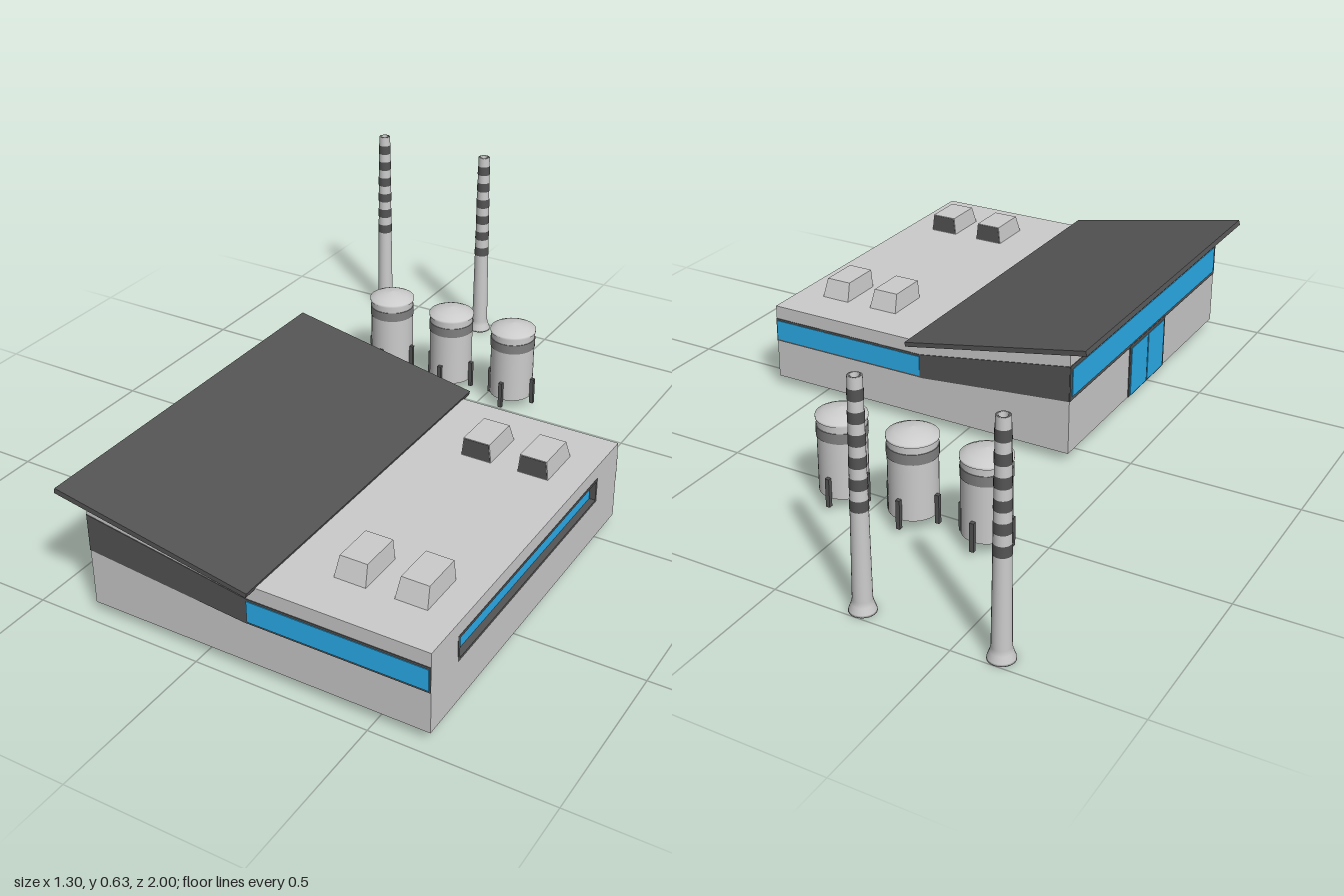
import * as THREE from 'three';

const mat = (color, side = THREE.FrontSide) => new THREE.MeshStandardMaterial({ color, side });
const GREY = mat(0xcccccc), DARK = mat(0x545454), BLUE = mat(0x2baeec), BAND = mat(0x808080);
const PIPE = mat(0xcccccc, THREE.DoubleSide);

function add(parent, name, geometry, material, x = 0, y = 0, z = 0) {
  const mesh = new THREE.Mesh(geometry, material);
  mesh.name = name;
  mesh.position.set(x, y, z);
  parent.add(mesh);
  return mesh;
}

const polygon = (pts) => new THREE.Shape(pts.map(([x, y]) => new THREE.Vector2(x, y)));
const rect = (x0, y0, x1, y1) => [[x0, y0], [x1, y0], [x1, y1], [x0, y1]];

// Extrudes an outline from z0 to z1, with an optional hole
function slab(pts, z0, z1, hole) {
  const shape = polygon(pts);
  if (hole) shape.holes.push(polygon(hole));
  return new THREE.ExtrudeGeometry(shape, { depth: z1 - z0, bevelEnabled: false }).translate(0, 0, z0);
}

// Box given by its limits
function block(parent, name, material, [x0, x1], [y0, y1], [z0, z1]) {
  return add(parent, name, new THREE.BoxGeometry(x1 - x0, y1 - y0, z1 - z0), material,
    (x0 + x1) / 2, (y0 + y1) / 2, (z0 + z1) / 2);
}

const BACK = -0.087, FRONT = 0.963;

function createBuilding() {
  const g = new THREE.Group();
  g.name = 'building';

  // Hall with a rising left part
  add(g, 'hall', slab([[-0.345, 0.03], [0.63, 0.03], [0.63, 0.265], [0.165, 0.265], [-0.345, 0.356]], BACK, FRONT), GREY);

  // Side wall with a recessed window
  const opening = rect(-0.835, 0.15, -0.045, 0.225);
  const inner = rect(-0.826, 0.158, -0.054, 0.217);
  add(g, 'sideWall', slab(rect(-FRONT, 0.03, -BACK, 0.265), 0.63, 0.65, opening).rotateY(Math.PI / 2), GREY);
  add(g, 'sideWindowFrame', slab(opening, 0.63, 0.651, inner).rotateY(Math.PI / 2), DARK);
  block(g, 'sideWindow', BLUE, [0.62, 0.633], [0.155, 0.22], [0.05, 0.83]);

  // Dark sloping band and window on the front and back walls
  const band = [[-0.345, 0.195], [0.13, 0.15], [0.65, 0.15], [0.65, 0.224], [0.14, 0.224], [-0.345, 0.303]];
  for (const [name, z, s] of [['front', FRONT, 1], ['back', BACK, -1]]) {
    const zs = (d) => [Math.min(z, z + s * d), Math.max(z, z + s * d)];
    add(g, name + 'Band', slab(band, ...zs(0.002)), DARK);
    block(g, name + 'Window', BLUE, [0.14, 0.645], [0.156, 0.218], zs(0.004));
  }

  // Long window strip and double door on the tall left wall
  block(g, 'endWindowFrame', DARK, [-0.347, -0.344], [0.195, 0.303], [BACK, FRONT]);
  block(g, 'endWindow', BLUE, [-0.349, -0.344], [0.207, 0.291], [BACK + 0.012, FRONT - 0.012]);
  block(g, 'doorFrame', DARK, [-0.348, -0.344], [0.03, 0.2], [0.31, 0.566]);
  for (const z of [0.32, 0.441]) {
    block(g, 'doorLeaf', BLUE, [-0.35, -0.344], [0.034, 0.19], [z, z + 0.115]);
  }

  // Overhanging sloped roof
  add(g, 'slopedRoof', slab([[-0.412, 0.366], [0.165, 0.259], [0.168, 0.272], [-0.408, 0.381]], -0.125, 1), DARK);
  return g;
}

// Roof vent: tapered hood with a dark opening on its upright inner face
function createVent(x, z, s) {
  const g = new THREE.Group();
  g.name = 'roofVent';
  const hood = new THREE.BoxGeometry(0.09, 0.055, 0.14);
  const p = hood.attributes.position;
  for (let i = 0; i < p.count; i++) {
    if (p.getY(i) < 0) continue;
    p.setX(i, p.getX(i) * 0.87);
    if (p.getZ(i) * s > 0) p.setZ(i, s * 0.05);
  }
  hood.computeVertexNormals();
  add(g, 'ventHood', hood, GREY, 0, 0.0275);
  const face = slab([[-0.043, 0.002], [0.043, 0.002], [0.037, 0.053], [-0.037, 0.053]], -0.001, 0.001);
  add(g, 'ventOpening', face, DARK, 0, 0, -s * 0.07);
  g.position.set(x, 0.265, z);
  return g;
}

// Storage tank with domed lid, dark band and four legs
function createTank(x) {
  const g = new THREE.Group();
  g.name = 'tank';
  add(g, 'tankBody', new THREE.CylinderGeometry(0.068, 0.068, 0.22, 32), GREY, 0, 0.15);
  const lid = [[0.071, 0.257], [0.071, 0.264], [0.05, 0.274], [0.025, 0.281], [0, 0.284]];
  add(g, 'tankLid', new THREE.LatheGeometry(lid.map(([r, y]) => new THREE.Vector2(r, y)), 32), PIPE);
  add(g, 'tankBand', new THREE.CylinderGeometry(0.07, 0.07, 0.03, 32), BAND, 0, 0.222);
  for (let i = 0; i < 4; i++) {
    const a = i * Math.PI / 2;
    add(g, 'tankLeg', new THREE.BoxGeometry(0.012, 0.085, 0.012), DARK, Math.cos(a) * 0.074, 0.06, Math.sin(a) * 0.074);
  }
  g.position.set(x, 0, -0.56);
  return g;
}

// Hollow chimney with flared foot and dark rings
function createChimney(x) {
  const g = new THREE.Group();
  g.name = 'chimney';
  const radius = (y) => 0.026 - 0.0075 * y / 0.633;
  const outline = [[0, 0], [0.036, 0], [0.035, 0.006], [0.029, 0.022], [0.0257, 0.035],
    [0.0185, 0.633], [0.011, 0.633], [0.011, 0.56], [0, 0.56]];
  add(g, 'chimneyShaft', new THREE.LatheGeometry(outline.map(([r, y]) => new THREE.Vector2(r, y)), 24), PIPE);
  for (let i = 0; i < 6; i++) {
    const y = 0.589 - i * 0.058;
    const ring = new THREE.CylinderGeometry(radius(y + 0.015) + 0.001, radius(y - 0.015) + 0.001, 0.03, 24, 1, true);
    add(g, 'chimneyRing', ring, DARK, 0, y);
  }
  g.position.set(x, 0, -0.964);
  return g;
}

export function createModel() {
  const model = new THREE.Group();
  model.name = 'factory';
  model.add(createBuilding());
  for (const x of [0.35, 0.52]) model.add(createVent(x, 0.76, 1), createVent(x, 0.112, -1));
  for (const x of [-0.35, -0.13, 0.09]) model.add(createTank(x));
  for (const x of [-0.617, -0.235]) model.add(createChimney(x));
  return model;
}
